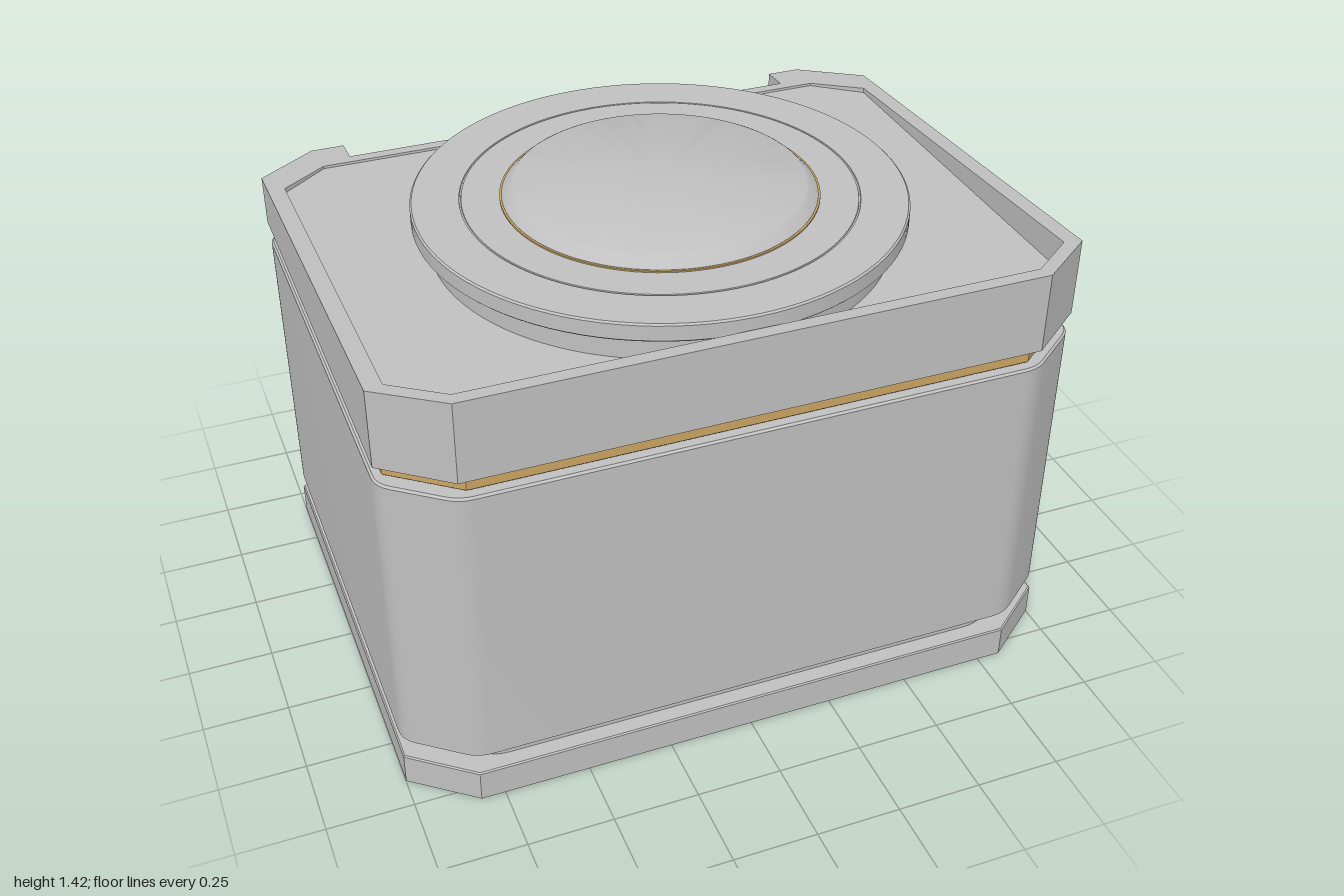
import * as THREE from 'three';
import { toCreasedNormals } from 'three/addons/utils/BufferGeometryUtils.js';

const mat = (name, color) => Object.assign(new THREE.MeshStandardMaterial({ color }), { name });

// Chamfered rectangle, given as x / -z so that it lies flat after rotation
function corners(hx, back, front, cx = 0.18, cz = 0.14) {
  return [
    [hx - cx, -front], [hx, -front + cz], [hx, back - cz], [hx - cx, back],
    [-hx + cx, back], [-hx, back - cz], [-hx, -front + cz], [-hx + cx, -front],
  ].map(([x, y]) => new THREE.Vector2(x, y));
}

// Outline with optional softened corners
function outline(pts, soft = 0) {
  if (!soft) return new THREE.Shape(pts);
  const shape = new THREE.Shape();
  pts.forEach((p, i) => {
    const prev = pts[(i + pts.length - 1) % pts.length];
    const next = pts[(i + 1) % pts.length];
    const a = p.clone().add(prev.clone().sub(p).setLength(soft));
    const b = p.clone().add(next.clone().sub(p).setLength(soft));
    if (i) shape.lineTo(a.x, a.y); else shape.moveTo(a.x, a.y);
    shape.quadraticCurveTo(p.x, p.y, b.x, b.y);
  });
  shape.closePath();
  return shape;
}

// Upright slab between two heights
function slab(shape, y0, y1, bevel = 0) {
  const g = new THREE.ExtrudeGeometry(shape, {
    depth: y1 - y0 - 2 * bevel, curveSegments: 5, bevelEnabled: bevel > 0,
    bevelThickness: bevel, bevelSize: bevel, bevelOffset: -bevel, bevelSegments: 1,
  });
  return g.rotateX(-Math.PI / 2).translate(0, y0 + bevel, 0);
}

export function createModel() {
  const grey = mat('lightGrey', 0xc0c0c0);
  const gold = mat('gold', 0xcba562);
  const yellow = mat('yellow', 0xdcbf4c);

  const model = new THREE.Group();
  model.name = 'chamferedCase';
  const add = (name, geometry, material) => {
    const mesh = new THREE.Mesh(toCreasedNormals(geometry, 0.5), material);
    mesh.name = name;
    model.add(mesh);
  };

  const full = corners(1, 0.8, 0.8);
  const inset = corners(0.94, 0.75, 0.75);

  // Stacked lower body
  add('base', slab(outline(full), 0, 0.102, 0.004), grey);
  add('baseGroove', slab(outline(inset, 0.04), 0.1, 0.165), grey);
  add('mainBody', slab(outline(full, 0.04), 0.16, 1.057, 0.006), grey);
  add('bandCore', slab(outline(inset), 1.05, 1.115), grey);
  add('goldBand', slab(outline(corners(0.975, 0.78, 0.78)), 1.064, 1.104, 0.005), gold);

  // Lid: lower slab, recessed floor and sloping rim
  const notchX = 0.72, notchZ = 0.71, notchY = 1.195, floorY = 1.25;
  const slope = (z) => 1.3 + 0.0625 * z;
  add('lidBase', slab(outline(full), 1.11, notchY), grey);
  const inner = corners(0.95, 0.67, 0.757, 0.14, 0.11);
  add('lidFloor', slab(outline(inner), notchY, floorY), grey);

  const rimPts = [...full];
  rimPts.splice(4, 0,
    new THREE.Vector2(notchX, 0.8), new THREE.Vector2(notchX, notchZ),
    new THREE.Vector2(-notchX, notchZ), new THREE.Vector2(-notchX, 0.8));
  const rimShape = outline(rimPts);
  rimShape.holes.push(new THREE.Path(inner));
  const rim = slab(rimShape, notchY, 1.3);
  const pos = rim.attributes.position;
  for (let i = 0; i < pos.count; i++) {
    if (pos.getY(i) > 1.25) pos.setY(i, slope(pos.getZ(i)));
  }
  add('lidRim', rim, grey);

  // Sloped back ledge with a yellow middle
  const ledge = (x0, x1) => new THREE.ExtrudeGeometry(new THREE.Shape([
    new THREE.Vector2(-0.8, notchY), new THREE.Vector2(-notchZ, notchY),
    new THREE.Vector2(-notchZ, slope(-notchZ)),
  ]), { depth: x1 - x0, bevelEnabled: false }).rotateY(-Math.PI / 2).translate(x1, 0, 0);
  add('ledgeRight', ledge(-notchX, -0.333), grey);
  add('ledgeMarker', ledge(-0.333, 0.333), yellow);
  add('ledgeLeft', ledge(0.333, notchX), grey);

  // Round dial on the lid
  const lathe = (name, pts, material) => add(name, new THREE.LatheGeometry(
    pts.map(([r, y]) => new THREE.Vector2(r, y)), 96).translate(0, 0, 0.05), material);
  lathe('dialFoot', [[0, 1.24], [0.655, 1.24], [0.655, 1.306], [0.65, 1.31], [0.62, 1.31], [0.62, 1.335]], grey);
  lathe('dialDisc', [
    [0, 1.33], [0.695, 1.33], [0.7, 1.335], [0.7, 1.379], [0.695, 1.384],
    [0.563, 1.384], [0.562, 1.381], [0.558, 1.381], [0.557, 1.384], [0, 1.384],
  ], grey);
  lathe('goldRing', [[0.45, 1.38], [0.45, 1.388], [0.43, 1.388]], gold);
  lathe('dialCap', [[0.444, 1.38], [0.444, 1.389], [0.417, 1.416], [0.411, 1.419], [0, 1.419]], grey);

  return model;
}
